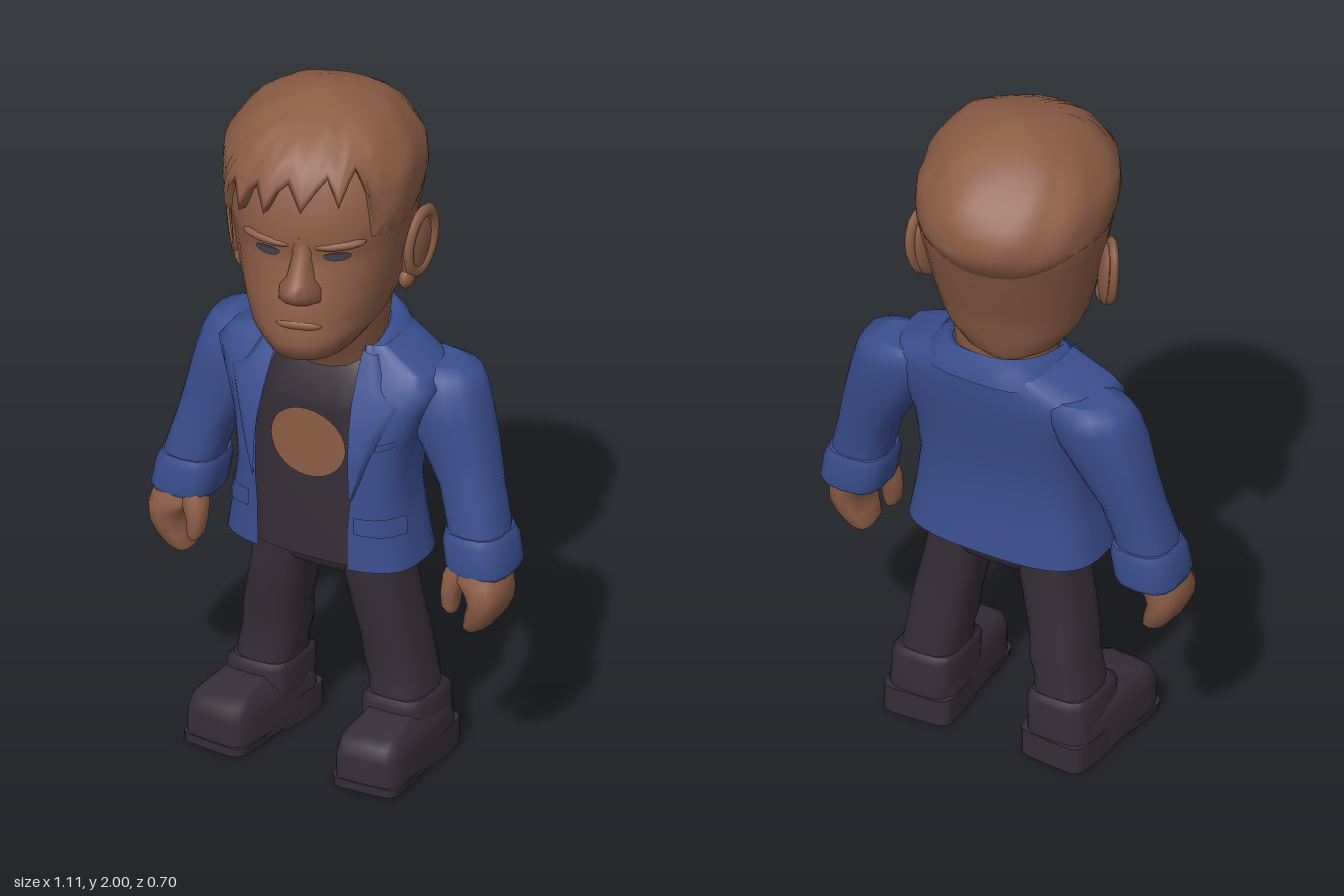
import * as THREE from 'three';

const mat = (name, color, side = THREE.FrontSide) => {
  const m = new THREE.MeshStandardMaterial({ color, side });
  m.name = name;
  return m;
};
const skin = mat('skin brown', 0x8b5d45, THREE.DoubleSide);
const blue = mat('jacket blue', 0x3a4f8f, THREE.DoubleSide);
const dark = mat('dark cloth', 0x362d36);
const eyeGrey = mat('eye grey', 0x3d404a, THREE.DoubleSide);

// Section tables hold rows of [y, centre x, centre z, half width, front depth, back depth]
const HEAD = [
  [1.305, 0, 0, 0.09, 0.23, 0.15], [1.33, 0, 0, 0.145, 0.345, 0.165], [1.38, 0, 0, 0.185, 0.36, 0.18],
  [1.405, 0, 0, 0.197, 0.347, 0.188], [1.45, 0, 0, 0.21, 0.347, 0.2], [1.5, 0, 0, 0.222, 0.335, 0.22],
  [1.6, 0, 0, 0.243, 0.31, 0.26], [1.64, 0, 0, 0.251, 0.304, 0.275], [1.68, 0, 0, 0.258, 0.32, 0.29],
  [1.75, 0, 0, 0.268, 0.298, 0.318], [1.83, 0, 0, 0.26, 0.285, 0.288], [1.9, 0, 0, 0.218, 0.235, 0.224],
  [1.95, 0, 0, 0.157, 0.165, 0.153], [1.98, 0, 0, 0.077, 0.08, 0.077], [1.99, 0, 0, 0.02, 0.02, 0.02]];
const SHIRT = [
  [0.62, 0, 0, 0.22, 0.125, 0.12], [1.08, 0, 0, 0.21, 0.122, 0.12],
  [1.18, 0, 0, 0.17, 0.085, 0.14], [1.22, 0, 0, 0.145, 0.055, 0.15]];
const JACKET = [
  [0.63, 0, 0, 0.29, 0.16, 0.17], [0.75, 0, 0, 0.268, 0.162, 0.16], [0.86, 0, 0, 0.255, 0.162, 0.155],
  [1.0, 0, 0, 0.27, 0.158, 0.175], [1.1, 0, 0, 0.31, 0.125, 0.2], [1.17, 0, 0, 0.34, 0.09, 0.207],
  [1.21, 0, 0, 0.31, 0.06, 0.212], [1.27, 0, 0, 0.18, 0.04, 0.215]];

const spow = (v, e) => Math.sign(v) * Math.abs(v) ** e;
// Point on a superellipse section; angle 0 faces the front
function point([y, cx, cz, w, f, b], a, p) {
  const c = Math.cos(a);
  return new THREE.Vector3(cx + w * spow(Math.sin(a), 2 / p), y, cz + (c > 0 ? f : b) * spow(c, 2 / p));
}
function section(table, y) {
  let i = 0;
  while (i < table.length - 2 && table[i + 1][0] < y) i++;
  const t = THREE.MathUtils.clamp((y - table[i][0]) / (table[i + 1][0] - table[i][0]), 0, 1);
  return table[i].map((v, k) => v + (table[i + 1][k] - v) * t);
}
function frontZ(table, x, y, p) {
  const [, , cz, w, f] = section(table, y);
  return cz + f * Math.max(0.05, 1 - Math.abs(x / w) ** p) ** (1 / p);
}
// Skin a grid of point rows, either capped tubes or open sheets
function skinRows(rows, closed = true) {
  const n = rows[0].length, pos = rows.flat().flatMap(v => [v.x, v.y, v.z]), idx = [];
  for (let i = 0; i < rows.length - 1; i++)
    for (let j = 0; j < (closed ? n : n - 1); j++) {
      const k = (j + 1) % n, a = i * n + j, b = i * n + k;
      idx.push(a, b, b + n, a, b + n, a + n);
    }
  if (closed) [rows[0], rows[rows.length - 1]].forEach((row, top) => {
    const base = pos.length / 3, c = row.reduce((s, v) => s.add(v), new THREE.Vector3()).divideScalar(n);
    [...row, c].forEach(v => pos.push(v.x, v.y, v.z));
    for (let j = 0; j < n; j++) {
      const k = (j + 1) % n;
      idx.push(base + n, base + (top ? j : k), base + (top ? k : j));
    }
  });
  const g = new THREE.BufferGeometry();
  g.setAttribute('position', new THREE.Float32BufferAttribute(pos, 3));
  g.setIndex(idx);
  g.computeVertexNormals();
  return g;
}
const loft = (table, p = 2.4, n = 16) => skinRows(table.map(r =>
  Array.from({ length: n }, (_, j) => point(r, j / n * Math.PI * 2, p))));
// Loft with an opening of the given half width at the front
const openLoft = (table, gaps, p, n) => skinRows(table.map((r, i) => {
  const a0 = Math.asin((gaps[i] / r[3]) ** (p / 2));
  return Array.from({ length: n + 1 }, (_, j) => point(r, a0 + (Math.PI - a0) * 2 * j / n, p));
}), false);
// Thin round patch lying on a lofted front
function patch(table, p, x, y, rx, ry, off) {
  const g = new THREE.RingGeometry(0.001, 1, 28, 4), q = g.attributes.position;
  for (let i = 0; i < q.count; i++) {
    const px = x + q.getX(i) * rx, py = y + q.getY(i) * ry;
    q.setXYZ(i, px, py, frontZ(table, px, py, p) + off);
  }
  g.computeVertexNormals();
  return g;
}
// Raised strip on the jacket between an inner and an outer edge
function jacketStrip(inner, outer, s, off) {
  return skinRows(inner.map((a, i) => Array.from({ length: 7 }, (_, j) => {
    const t = j / 6, x = a[0] + (outer[i][0] - a[0]) * t, y = a[1] + (outer[i][1] - a[1]) * t;
    return new THREE.Vector3(s * x, y, frontZ(JACKET, x, y, 3) + (j === 6 ? -0.004 : off));
  })), false);
}
function add(parent, name, geo, material, at = [0, 0, 0], rot = [0, 0, 0], scale = [1, 1, 1]) {
  const m = new THREE.Mesh(geo, material);
  m.name = name;
  m.position.set(...at);
  m.rotation.set(...rot);
  m.scale.set(...scale);
  parent.add(m);
  return m;
}

// Swept hair with a jagged fringe and a side parting, flush at the sides and back
function hairGeometry() {
  const n = 60, rows = 12, out = [];
  const isFringe = d => d > -0.95 && d < 0.65;
  const line = (d, j) => isFringe(d)
    ? 1.755 + 0.09 * (d + 0.95) / 1.6 + [-0.04, 0.015, 0.04][j % 3]
    : 1.7 + 0.03 * Math.cos(3 * d);
  for (let i = -1; i <= rows; i++) out.push(Array.from({ length: n }, (_, j) => {
    const a = j / n * Math.PI * 2, d = a > Math.PI ? a - Math.PI * 2 : a, t = Math.max(i, 0) / rows;
    const h = line(d, j), y = h + (1.99 - h) * Math.sin(t * Math.PI / 2);
    const lump = (0.018 * Math.sin(4 * a + 7 * t) + 0.012 * Math.sin(9 * a - 11 * t)) * Math.sin(Math.PI * t);
    const rise = isFringe(d) ? 1 : Math.min(1, t * 3);
    const parting = d > 0.65 && d < 2.3 && t < 0.55 ? 0.035 : 0;
    const k = i < 0 ? 0.95 : 1 + rise * (0.04 + 0.05 * Math.max(0, Math.cos(a + 0.3)) - parting) + lump;
    const v = point(section(HEAD, y), a, 2.3);
    return v.set(v.x * k, y + 0.01 * t, v.z * k);
  }));
  return skinRows(out);
}

function buildHead() {
  const head = new THREE.Group(), ball = new THREE.SphereGeometry(1, 14, 10);
  head.name = 'head';
  head.position.set(-0.03, 0, -0.03);
  head.rotation.y = 0.3;
  add(head, 'skull and face', loft(HEAD, 2.3, 28), skin);
  add(head, 'hair', hairGeometry(), skin);
  add(head, 'nose', loft([[1.495, 0, 0.3, 0.04, 0.045, 0.02], [1.51, 0, 0.3, 0.066, 0.07, 0.02],
    [1.545, 0, 0.3, 0.06, 0.1, 0.02], [1.57, 0, 0.29, 0.042, 0.09, 0.02],
    [1.63, 0, 0.28, 0.03, 0.045, 0.02], [1.69, 0, 0.28, 0.036, 0.039, 0.02]], 2, 12), skin);
  add(head, 'lips', ball, skin, [0, 1.435, 0.335], [0, 0, 0], [0.065, 0.016, 0.015]);
  for (const s of [1, -1]) {
    add(head, 'eye', patch(HEAD, 2.3, s * 0.097, 1.636, 0.036, 0.014, 0.006), eyeGrey);
    add(head, 'eyebrow', ball, skin, [s * 0.1, 1.668, 0.282], [0, s * 0.3, s * 0.08], [0.075, 0.017, 0.026]);
    // Forward-facing flared ear with bowl, rim and lobe
    const ear = new THREE.Group();
    ear.name = 'ear';
    ear.position.set(s * 0.25, 1.54, s > 0 ? 0.015 : -0.01);
    ear.rotation.set(-0.18, s * -0.35, s * -0.12);
    head.add(ear);
    add(ear, 'ear bowl', ball, skin, [0, 0, -0.005], [0, 0, 0], [0.022, 0.105, 0.062]);
    add(ear, 'ear rim', new THREE.TorusGeometry(0.058, 0.014, 6, 18), skin,
      [s * 0.01, 0.015, -0.01], [0, Math.PI / 2, 0], [1.05, 1.55, 1]);
    add(ear, 'ear lobe', ball, skin, [0, -0.09, 0.018], [0, 0, 0], [0.02, 0.032, 0.03]);
  }
  return head;
}

function buildSide(s) {
  const side = new THREE.Group();
  side.name = s > 0 ? 'left limbs' : 'right limbs';
  const row = (y, x, z, w, f, b = f) => [y, s * x, z, w, f, b];
  // Sleeve and turned-up cuff
  add(side, 'sleeve', loft([row(0.7, 0.455, -0.035, 0.08, 0.085), row(0.78, 0.442, -0.04, 0.083, 0.085),
    row(0.88, 0.412, -0.055, 0.085, 0.085), row(0.98, 0.37, -0.065, 0.105, 0.09, 0.1),
    row(1.08, 0.325, -0.07, 0.125, 0.105, 0.115), row(1.15, 0.3, -0.075, 0.128, 0.1, 0.12),
    row(1.195, 0.285, -0.08, 0.12, 0.08, 0.11), row(1.212, 0.265, -0.085, 0.09, 0.05, 0.08)], 2.5, 14), blue);
  add(side, 'cuff', loft([row(0.645, 0.463, -0.035, 0.087, 0.095), row(0.66, 0.463, -0.035, 0.094, 0.102),
    row(0.735, 0.45, -0.038, 0.094, 0.1), row(0.76, 0.445, -0.04, 0.085, 0.09)], 3, 14), blue);
  // Palm running into curled fingers, with a thumb
  add(side, 'hand', loft([row(0.47, 0.455, -0.005, 0.02, 0.045), row(0.485, 0.463, -0.005, 0.036, 0.06),
    row(0.525, 0.485, -0.005, 0.047, 0.075), row(0.565, 0.5, -0.005, 0.05, 0.083),
    row(0.6, 0.495, -0.005, 0.06, 0.085), row(0.63, 0.475, -0.01, 0.075, 0.08), row(0.69, 0.466, -0.02, 0.064, 0.07)], 2.6, 12), skin);
  add(side, 'thumb', loft([row(0.525, 0.404, 0.04, 0.014, 0.02), row(0.545, 0.4, 0.04, 0.024, 0.03),
    row(0.59, 0.4, 0.035, 0.029, 0.035), row(0.63, 0.41, 0.025, 0.037, 0.042), row(0.67, 0.425, 0.01, 0.038, 0.045)], 2.4, 10), skin);
  // Trouser leg, turn-up and shoe
  add(side, 'trouser leg', loft([row(0.16, 0.212, -0.045, 0.088, 0.105), row(0.24, 0.205, -0.045, 0.085, 0.095),
    row(0.3, 0.19, -0.045, 0.088, 0.095), row(0.37, 0.184, -0.035, 0.086, 0.095), row(0.48, 0.16, -0.025, 0.086, 0.1),
    row(0.58, 0.14, -0.02, 0.085, 0.105), row(0.64, 0.125, -0.02, 0.09, 0.1)], 2.8, 14), dark);
  add(side, 'trouser turn-up', loft([row(0.08, 0.216, -0.045, 0.098, 0.12), row(0.19, 0.212, -0.045, 0.098, 0.12),
    row(0.205, 0.21, -0.045, 0.086, 0.1)], 4, 16), dark);
  const shoe = new THREE.Group();
  shoe.name = 'shoe';
  shoe.position.set(s * 0.222, 0, 0);
  shoe.rotation.y = s > 0 ? 0.05 : -0.1;
  side.add(shoe);
  add(shoe, 'shoe upper', loft([[0.012, 0, 0, 0.103, 0.232, 0.15], [0.1, 0, 0, 0.103, 0.232, 0.15],
    [0.14, 0, 0, 0.093, 0.22, 0.14], [0.157, 0, 0, 0.078, 0.19, 0.13], [0.175, 0, 0, 0.065, 0.09, 0.12]], 6, 20), dark);
  add(shoe, 'heel', loft([[0, 0, -0.07, 0.104, 0.1, 0.1], [0.08, 0, -0.07, 0.104, 0.1, 0.1]], 6, 20), dark);
  add(shoe, 'front sole', loft([[0.004, 0, 0.13, 0.1, 0.105, 0.08], [0.03, 0, 0.13, 0.104, 0.105, 0.08]], 6, 20), dark);
  return side;
}

export function createModel() {
  const model = new THREE.Group();
  model.name = 'man in jacket';
  model.add(buildHead(), buildSide(1), buildSide(-1));
  add(model, 'neck', loft([[1.1, 0, -0.02, 0.12, 0.06, 0.12], [1.2, 0, -0.02, 0.13, 0.1, 0.14],
    [1.27, 0, -0.02, 0.137, 0.16, 0.16], [1.36, 0.01, -0.02, 0.14, 0.21, 0.16]], 2.2, 18), skin);
  add(model, 'shirt', loft(SHIRT, 3, 24), dark);
  add(model, 'shirt disc', patch(SHIRT, 3, 0, 0.975, 0.117, 0.103, 0.006), skin);
  add(model, 'hips', loft([[0.565, 0, -0.02, 0.17, 0.085, 0.09], [0.6, 0, -0.02, 0.215, 0.105, 0.11],
    [0.68, 0, -0.02, 0.22, 0.12, 0.12]], 3, 20), dark);
  // Open jacket with collar, lapels and pocket flaps
  add(model, 'jacket body', openLoft(JACKET, [0.14, 0.14, 0.15, 0.148, 0.14, 0.135, 0.13, 0.13], 3, 30), blue);
  add(model, 'collar', openLoft([[-0.05, 0, 0.08, 0.225, 0.08, 0.225], [0, 0, 0.08, 0.195, 0.07, 0.225],
    [0.035, 0, 0.08, 0.155, 0.055, 0.215], [0.02, 0, 0.08, 0.142, 0.045, 0.185]], [0.15, 0.14, 0.132, 0.13], 2.6, 24),
  blue, [0, 1.257, -0.08], [0.22, 0, 0]);
  for (const s of [1, -1]) {
    add(model, 'lapel', jacketStrip([[0.15, 0.85], [0.147, 0.95], [0.142, 1.04], [0.136, 1.12], [0.132, 1.18], [0.13, 1.26]],
      [[0.155, 0.85], [0.19, 0.95], [0.225, 1.04], [0.265, 1.13], [0.215, 1.16], [0.17, 1.25]], s, 0.013), blue);
    add(model, 'pocket flap', jacketStrip([[0.165, 0.75], [0.165, 0.755], [0.165, 0.79], [0.165, 0.8]],
      [[0.275, 0.735], [0.275, 0.74], [0.272, 0.78], [0.27, 0.79]], s, 0.014), blue);
  }
  add(model, 'chest pocket', jacketStrip([[0.215, 1.0], [0.215, 1.02]], [[0.262, 1.015], [0.262, 1.035]], 1, 0.008), blue);
  return model;
}
